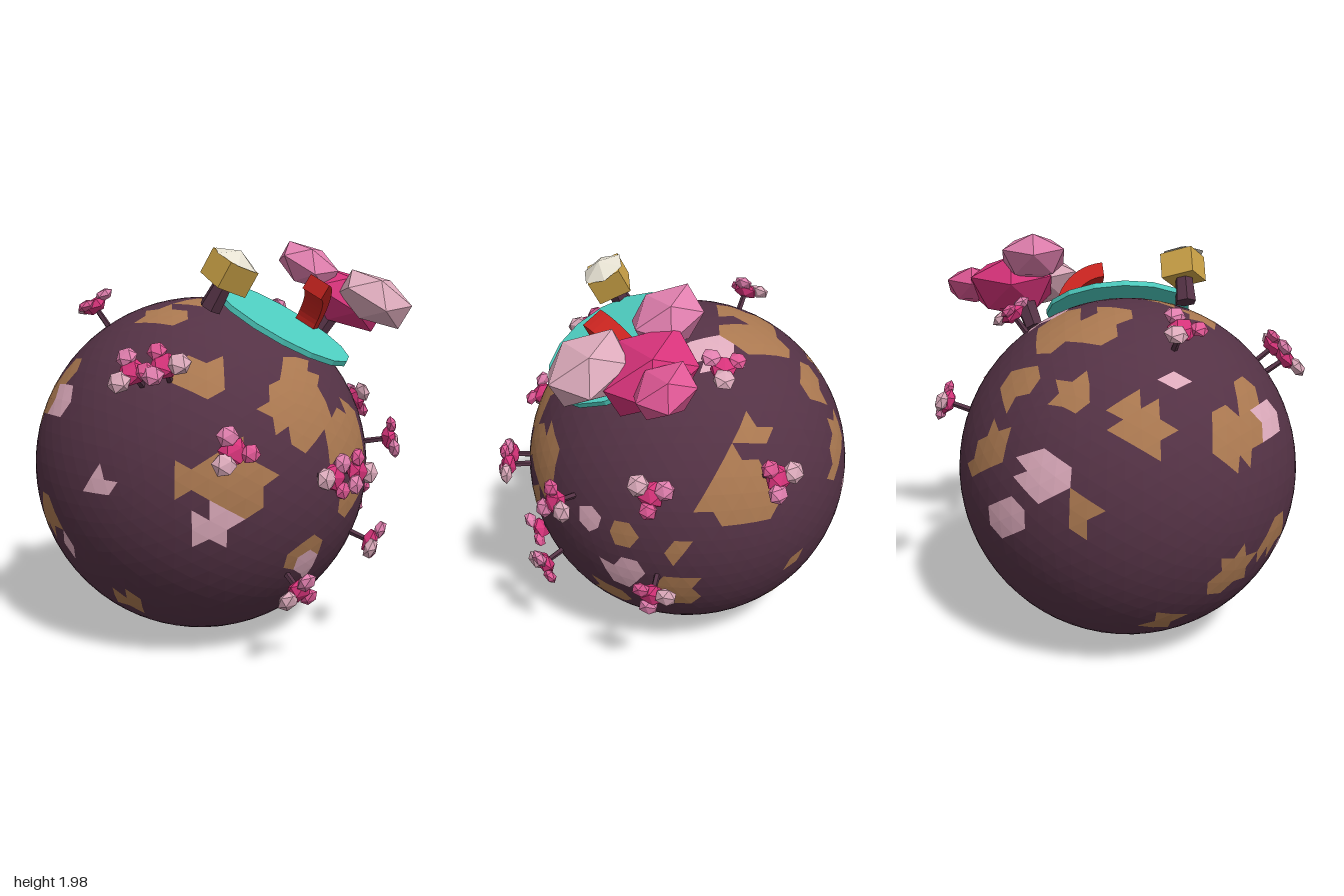
import * as THREE from 'three';

const paint = (name, color) => {
  const m = new THREE.MeshStandardMaterial({ color, flatShading: true });
  m.name = name;
  return m;
};
const plum = paint('plum', 0x543245);
const brown = paint('brown', 0xaa7850);
const palePink = paint('pale pink', 0xdcaabb);
const teal = paint('teal', 0x4ecdc0);
const red = paint('red', 0xc8241f);
const gold = paint('gold', 0xcfa548);
const cream = paint('cream', 0xe6e1d2);
const magenta = paint('magenta', 0xd6337a);
const hotPink = paint('hot pink', 0xde5794);
const pink = paint('pink', 0xe07fae);

const CENTER = new THREE.Vector3(-0.155, 0.845, -0.08);
const R = 0.847;
const UP = new THREE.Vector3(0, 1, 0);
const DISC_NORMAL = new THREE.Vector3(0.285, 0.866, 0.42).normalize();

// Ground patches: azimuth and elevation of a side of the globe, then [across, up, radius] in hundredths
const brownPatches = [
  [0, 0, [[2, 44, 17], [12, 60, 12], [-46, 61, 12], [46, 25, 17], [25, 22, 9], [-42, 5, 17], [-60, 10, 9],
    [40, -10, 10], [5, -38, 9], [70, -54, 10], [-68, -68, 9], [3, -95, 11]]],
  [90, 0, [[28, 26, 17], [8, 26, 7], [32, 54, 8], [-7, -40, 12], [-38, 0, 7], [-7, -7, 6], [51, -65, 5],
    [23, -87, 9], [86, 22, 10]]],
  [0, 90, [[-2, 37, 15], [25, 36, 14], [22, 53, 8], [30, 70, 11], [-45, 72, 12], [-38, -18, 12],
    [-16, -17, 9]]],
  [213, 25, [[-32, 70, 12], [-76, 10, 10], [-35, 28, 9], [50, 5, 14], [58, 28, 8], [50, -65, 12],
    [75, -45, 11], [12, -90, 9], [-32, -32, 8]]],
  [147, -30, [[22, -69, 13], [-28, 20, 6]]],
];
const pinkPatches = [
  [0, 0, [[-50, -14, 10], [10, -45, 7], [-91, 6, 7]]],
  [90, 0, [[-41, -30, 11], [-58, 5, 7]]],
  [0, 90, [[45, 12, 13]]],
  [213, 25, [[-52, -10, 14], [-72, -32, 10], [70, 18, 9], [18, 35, 5], [80, -54, 5]]],
];

// Turns a patch list into points on the unit globe
const patchPoints = (sides) => sides.flatMap(([az, el, spots]) => {
  const turn = new THREE.Euler(-THREE.MathUtils.degToRad(el), THREE.MathUtils.degToRad(az), 0, 'YXZ');
  return spots.map(([across, up, r]) => {
    const u = across / 100, v = up / 100;
    const p = new THREE.Vector3(u, v, Math.sqrt(Math.max(0, 1 - u * u - v * v)));
    return { p: p.normalize().applyEuler(turn), r: r / 100 };
  });
});

function add(parent, name, geo, mat, x = 0, y = 0, z = 0) {
  const m = new THREE.Mesh(geo, mat);
  m.name = name;
  m.position.set(x, y, z);
  parent.add(m);
  return m;
}

// Faceted globe whose triangles are sorted into colour groups
function globe() {
  const geo = new THREE.IcosahedronGeometry(R, 11);
  const pos = geo.attributes.position;
  const browns = patchPoints(brownPatches), pinks = patchPoints(pinkPatches);
  const lists = [[], [], []];
  const c = new THREE.Vector3(), v = new THREE.Vector3();
  // Ragged patch edges come from a wave over the globe
  const inside = (patches) => {
    const wave = 1.1 + 0.17 * Math.sin(17 * c.x + 5) * Math.sin(19 * c.y) + 0.13 * Math.sin(23 * c.z);
    return patches.some(({ p, r }) => c.distanceTo(p) < r * wave);
  };
  for (let i = 0; i < pos.count; i += 3) {
    c.set(0, 0, 0);
    for (let k = 0; k < 3; k++) c.add(v.fromBufferAttribute(pos, i + k));
    c.normalize();
    lists[inside(pinks) ? 2 : inside(browns) ? 1 : 0].push(i, i + 1, i + 2);
  }
  // Level the ground beneath the disc
  for (let i = 0; i < pos.count; i++) {
    v.fromBufferAttribute(pos, i);
    const over = v.dot(DISC_NORMAL) - 0.82;
    if (over > 0) v.addScaledVector(DISC_NORMAL, -over);
    pos.setXYZ(i, v.x, v.y, v.z);
  }
  geo.setIndex(lists.flat());
  let start = 0;
  lists.forEach((l, k) => { geo.addGroup(start, l.length, k); start += l.length; });
  return geo;
}

// Faceted puff, flattened along its own y axis
function puff(parent, name, mat, r, x, y, z) {
  add(parent, name, new THREE.IcosahedronGeometry(r, 0), mat, x, y, z).scale.y = 0.6;
}

// Small blossom cluster on a thin stem; turn aims the pale petal
function flower(parent, x, y, z, turn) {
  const top = Math.hypot(x, y, z);
  const g = new THREE.Group();
  g.name = 'flower';
  g.quaternion.setFromUnitVectors(UP, new THREE.Vector3(x, y, z).normalize());
  parent.add(g);
  add(g, 'flowerStem', new THREE.CylinderGeometry(0.014, 0.016, top - 0.8, 5), plum, 0, (top + 0.8) / 2, 0);
  puff(g, 'flowerHeart', magenta, 0.068, 0, top, 0);
  [palePink, pink, hotPink].forEach((mat, k) => {
    const a = turn + k * 2 * Math.PI / 3;
    puff(g, 'petal', mat, 0.056 - 0.005 * k, Math.cos(a) * 0.07, top + 0.02, Math.sin(a) * 0.07);
  });
}

export function createModel() {
  const model = new THREE.Group();
  model.name = 'gardenPlanet';
  const planet = new THREE.Group();
  planet.name = 'planet';
  planet.position.copy(CENTER);
  model.add(planet);
  add(planet, 'ground', globe(), [plum, brown, palePink]);

  // Tilted disc that carries the lamp, the arch and the tree
  const plaza = new THREE.Group();
  plaza.name = 'plaza';
  const ax = new THREE.Vector3(-0.839, 0, 0.545);
  ax.addScaledVector(DISC_NORMAL, -ax.dot(DISC_NORMAL)).normalize();
  const az = new THREE.Vector3().crossVectors(ax, DISC_NORMAL);
  plaza.quaternion.setFromRotationMatrix(new THREE.Matrix4().makeBasis(ax, DISC_NORMAL, az));
  plaza.position.copy(DISC_NORMAL).multiplyScalar(0.838);
  planet.add(plaza);
  add(plaza, 'disc', new THREE.CylinderGeometry(0.38, 0.38, 0.026, 16), teal);

  const lamp = new THREE.Group();
  lamp.name = 'lamp';
  lamp.position.set(0.32, 0, 0.25);
  plaza.add(lamp);
  add(lamp, 'lampPost', new THREE.CylinderGeometry(0.045, 0.055, 0.14, 6), plum, 0, 0.01, 0);
  add(lamp, 'lampBox', new THREE.BoxGeometry(0.17, 0.13, 0.17), gold, 0, 0.13, 0).rotation.y = -0.57;
  add(lamp, 'lampRoof', new THREE.ConeGeometry(0.115, 0.05, 6), cream, 0, 0.22, 0);

  // Curved red arch: a slice of a ring
  const ring = new THREE.Shape();
  ring.absarc(0, 0, 0.28, 1.65, 3.4, false);
  ring.absarc(0, 0, 0.2, 3.4, 1.65, true);
  const arch = new THREE.ExtrudeGeometry(ring, { depth: 0.11, bevelEnabled: false, curveSegments: 7 });
  add(plaza, 'arch', arch, red, -0.05, -0.01, -0.1);

  // Large blossom tree
  const tree = new THREE.Group();
  tree.name = 'blossomTree';
  plaza.add(tree);
  add(tree, 'trunk', new THREE.CylinderGeometry(0.06, 0.05, 0.22, 6), plum, -0.48, 0.05, -0.08).rotation.z = 0.3;
  puff(tree, 'crownHeart', magenta, 0.25, -0.56, 0.19, -0.1);
  puff(tree, 'crownPuff', pink, 0.185, -0.44, 0.25, 0.14);
  puff(tree, 'crownPuff', palePink, 0.215, -0.39, 0.29, -0.27);
  puff(tree, 'crownPuff', hotPink, 0.155, -0.77, 0.22, -0.15);

  // Flowers scattered over the globe: position, then turn
  const spots = [
    [-0.43, 0.8, -0.33, -1.6], [-0.66, 0.54, 0.45, 3.1], [-0.56, 0.57, 0.55, 0.8], [-0.39, 0.22, 0.82, 2.7],
    [0.08, 0.07, 0.93, 3.1], [0.22, 0.08, 0.93, 0], [-0.03, -0.46, 0.83, 2.7], [0.5, -0.34, 0.74, 2.4],
    [0.71, 0.14, 0.64, -0.5], [0.91, -0.25, 0.19, -1.6], [0.83, 0.32, -0.38, -2.2], [0.9, 0.28, 0.19, 2.4],
    [0.58, 0.75, -0.14, 0],
  ];
  spots.forEach((spot) => flower(planet, ...spot));
  return model;
}
